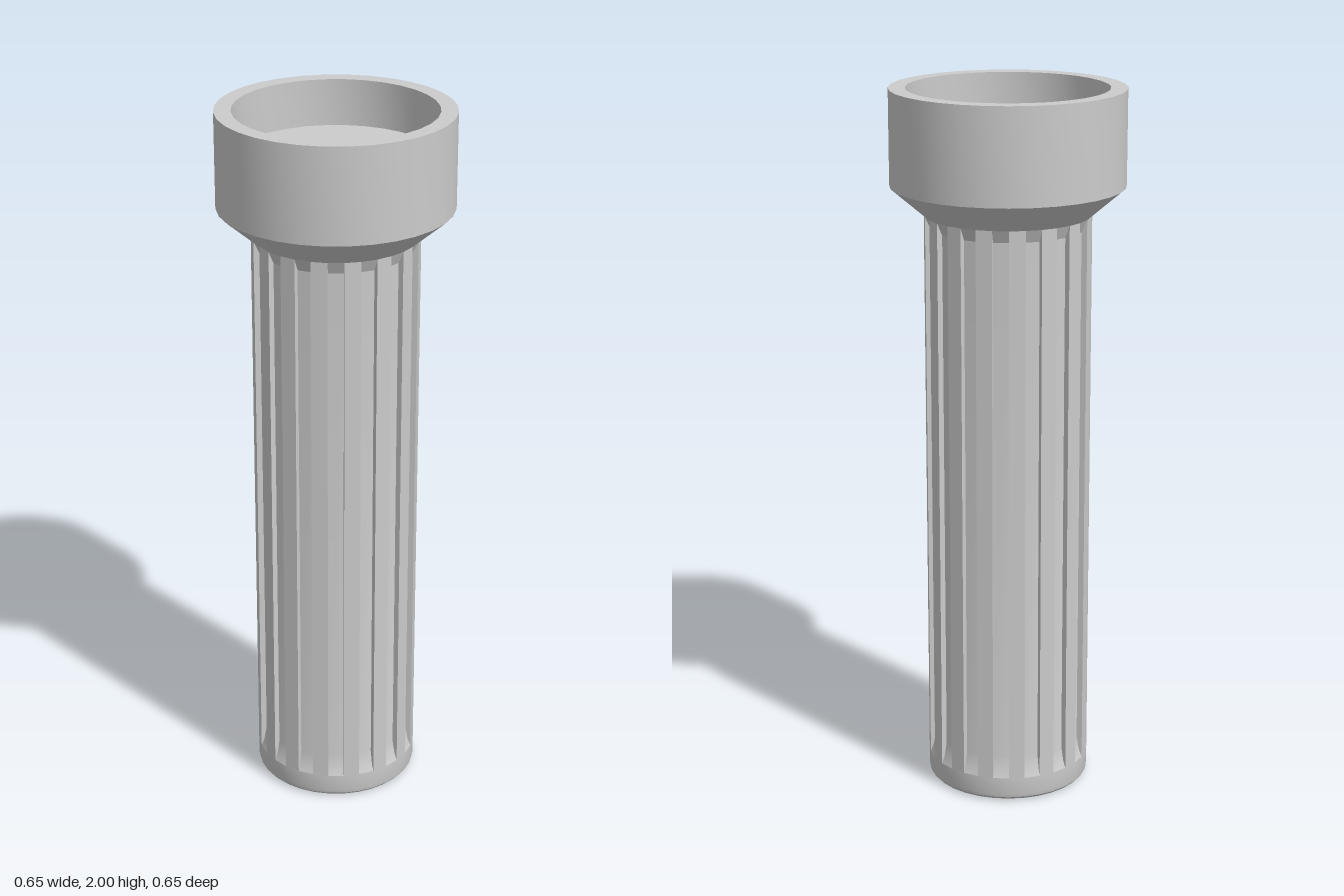
import * as THREE from 'three';
import { toCreasedNormals } from 'three/addons/utils/BufferGeometryUtils.js';

const SIDES = 32;
const BODY_R = 0.23;
const GROOVE = 0.016;

const material = new THREE.MeshStandardMaterial({ color: 0xcccccc });

function addMesh(group, name, geometry) {
  const mesh = new THREE.Mesh(geometry, material);
  mesh.name = name;
  group.add(mesh);
  return mesh;
}

// Lathe with smooth sides and sharp profile corners
function turned(profile) {
  const points = profile.map(([r, y]) => new THREE.Vector2(r, y));
  return toCreasedNormals(new THREE.LatheGeometry(points, SIDES), 0.5);
}

// Fluted barrel: every other facet is sunk between radial walls, with ramped ends
function flutedGeometry() {
  // [height, groove depth]
  const levels = [
    [0.07, 0], [0.09, 0.5 * GROOVE], [0.13, GROOVE],
    [1.62, GROOVE], [1.655, 0],
  ];
  const step = (Math.PI * 2) / SIDES;
  const rings = levels.map(([y, depth]) => {
    const ring = [];
    for (let i = 0; i < SIDES; i += 2) {
      const a = (i - 1) * step, b = i * step;
      for (const [angle, r] of [[a, BODY_R], [a, BODY_R - depth], [b, BODY_R - depth], [b, BODY_R]]) {
        ring.push(new THREE.Vector3(Math.sin(angle) * r, y, Math.cos(angle) * r));
      }
    }
    return ring;
  });
  const positions = [];
  const triangle = (a, b, c) => {
    const area = b.clone().sub(a).cross(c.clone().sub(a)).length();
    if (area > 1e-9) for (const p of [a, b, c]) positions.push(p.x, p.y, p.z);
  };
  for (let k = 0; k < rings.length - 1; k++) {
    const low = rings[k], high = rings[k + 1], n = low.length;
    for (let i = 0; i < n; i++) {
      const j = (i + 1) % n;
      triangle(low[i], low[j], high[j]);
      triangle(low[i], high[j], high[i]);
    }
  }
  const geometry = new THREE.BufferGeometry();
  geometry.setAttribute('position', new THREE.Float32BufferAttribute(positions, 3));
  return toCreasedNormals(geometry, 0.4);
}

export function createModel() {
  const group = new THREE.Group();
  group.name = 'flashlight';

  // Rounded end cap
  addMesh(group, 'endCap', turned([
    [0, 0], [0.212, 0], [0.221, 0.003], [0.2275, 0.01], [BODY_R, 0.02], [BODY_R, 0.07],
  ]));

  // Grip
  addMesh(group, 'flutedGrip', flutedGeometry());

  // Flared head with hollow rim
  addMesh(group, 'head', turned([
    [BODY_R, 1.655], [0.323, 1.735], [0.323, 2], [0.277, 2], [0.277, 1.87],
  ]));

  // Lens recessed in the rim
  const lens = addMesh(group, 'lens', new THREE.CircleGeometry(0.277, SIDES));
  lens.rotation.x = -Math.PI / 2;
  lens.position.y = 1.87;

  return group;
}
